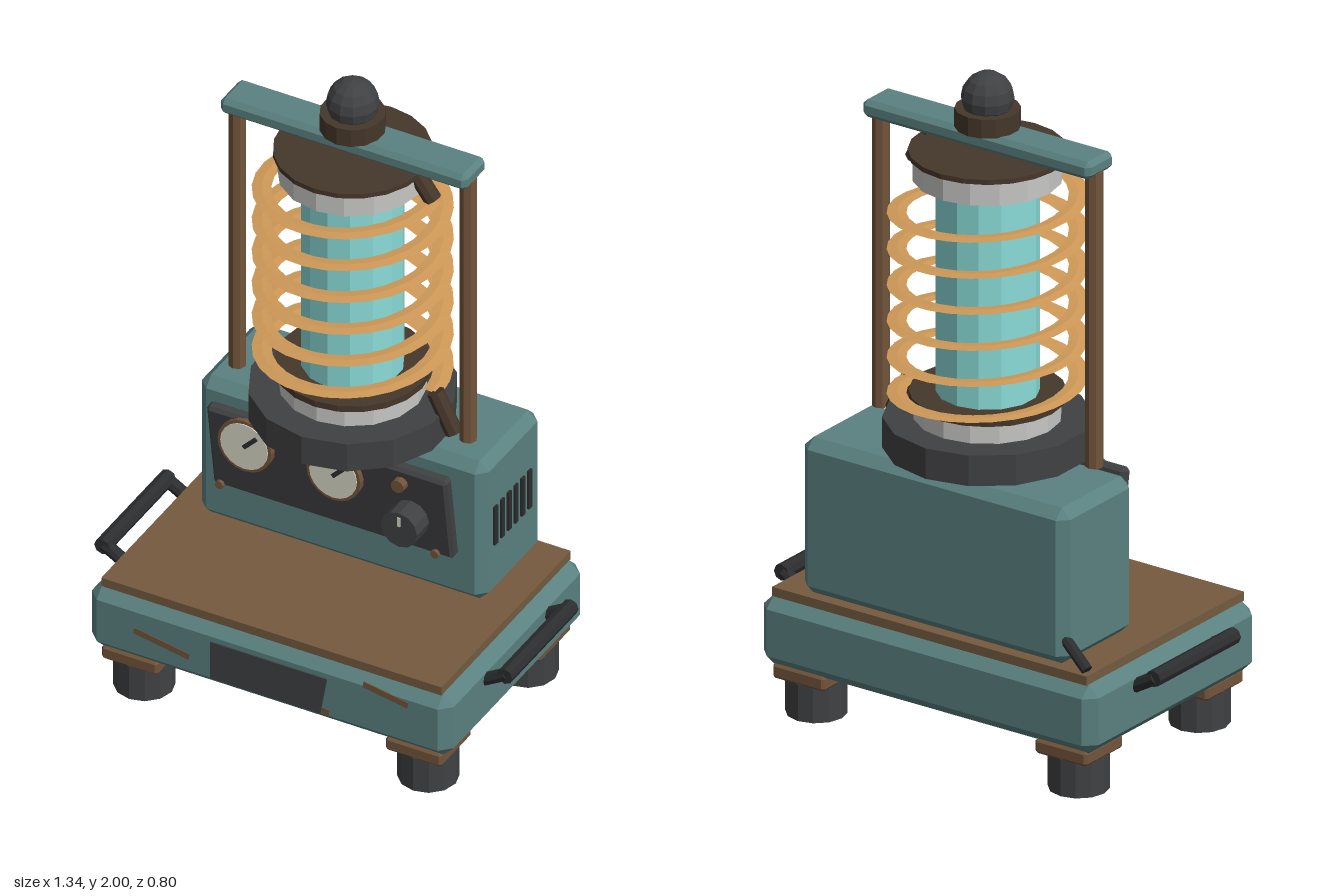
import * as THREE from 'three';
import { ConvexGeometry } from 'three/addons/geometries/ConvexGeometry.js';

const paint = (name, color, side = THREE.FrontSide) => {
  const m = new THREE.MeshStandardMaterial({ color });
  m.name = name;
  m.side = side;
  return m;
};

export function createModel() {
  const teal = paint('teal enamel', 0x5a8180);
  const brown = paint('brown wood', 0x745a3f);
  const bronze = paint('bronze', 0x72543a);
  const umber = paint('dark umber', 0x45372a);
  const copper = paint('copper coil', 0xd09a58, THREE.DoubleSide);
  const iron = paint('dark iron', 0x404143);
  const black = paint('black rubber', 0x2c2d2f);
  const cream = paint('cream', 0xd8d6c6);
  const ceramic = paint('ceramic', 0xc6c6c4);
  const glass = paint('cyan glass', 0x8adcd8);

  const model = new THREE.Group();
  model.name = 'coilApparatus';
  const Z = -0.097; // depth of the column axis

  // Faceted mesh helper
  const add = (name, geometry, material, x = 0, y = 0, z = 0, parent = model) => {
    const g = geometry.index ? geometry.toNonIndexed() : geometry;
    g.computeVertexNormals();
    const mesh = new THREE.Mesh(g, material);
    mesh.name = name;
    mesh.position.set(x, y, z);
    parent.add(mesh);
    return mesh;
  };

  // Box with every edge cut by c
  const chamferBox = (w, h, d, c) => {
    const pts = [];
    for (const sx of [-1, 1]) for (const sy of [-1, 1]) for (const sz of [-1, 1])
      for (let k = 0; k < 3; k++)
        pts.push(new THREE.Vector3(
          sx * (w / 2 - (k === 0 ? 0 : c)),
          sy * (h / 2 - (k === 1 ? 0 : c)),
          sz * (d / 2 - (k === 2 ? 0 : c))));
    return new ConvexGeometry(pts);
  };

  // Upright cylinder between two heights
  const disc = (name, mat, r, y0, y1, x = 0, z = Z, n = 16) =>
    add(name, new THREE.CylinderGeometry(r, r, y1 - y0, n), mat, x, (y0 + y1) / 2, z);

  // Rod between two points
  const rod = (name, mat, a, b, r, n = 8) => {
    const p = new THREE.Vector3(...a), q = new THREE.Vector3(...b);
    const mesh = add(name, new THREE.CylinderGeometry(r, r, p.distanceTo(q), n), mat);
    mesh.position.copy(p).lerp(q, 0.5);
    mesh.quaternion.setFromUnitVectors(new THREE.Vector3(0, 1, 0), q.sub(p).normalize());
    return mesh;
  };

  // Base tray, top board and feet
  add('base', chamferBox(1.16, 0.21, 0.8, 0.034), teal, 0, 0.255, 0);
  add('topBoard', new THREE.BoxGeometry(1.09, 0.028, 0.75), brown, 0, 0.373, 0);
  for (const sx of [-1, 1]) for (const sz of [-1, 1]) {
    disc('foot', iron, 0.088, 0, 0.112, sx * 0.455, sz * 0.288, 12);
    add('footMount', chamferBox(0.18, 0.045, 0.18, 0.008), bronze, sx * 0.455, 0.132, sz * 0.288);
  }

  // Side handles
  for (const s of [-1, 1]) {
    rod('handleBar', black, [s * 0.645, 0.343, -0.195], [s * 0.645, 0.343, 0.19], 0.025);
    for (const z of [-0.183, 0.175])
      rod('handleArm', black, [s * 0.56, 0.293, z], [s * 0.645, 0.343, z], 0.02);
  }

  // Patch and worn marks on the base front
  const patch = new THREE.Shape([[-0.18, 0.185], [0.172, 0.185], [0.193, 0.31], [-0.18, 0.31]]
    .map(p => new THREE.Vector2(...p)));
  add('frontPatch', new THREE.ExtrudeGeometry(patch, { depth: 0.005, bevelEnabled: false }), iron, 0, 0, 0.399);
  for (const [x, y, w, a] of [[-0.338, 0.248, 0.18, -0.17], [0.38, 0.32, 0.145, -0.17], [0.15, 0.2, 0.1, -0.12]])
    add('wornMark', new THREE.BoxGeometry(w, 0.02, 0.004), bronze, x, y, 0.4).rotation.z = a;

  // Cabinet, side vents and cable stub
  add('cabinet', chamferBox(0.92, 0.475, 0.34, 0.03), teal, 0, 0.6225, -0.195);
  for (let i = 0; i < 6; i++)
    add('vent', new THREE.BoxGeometry(0.009, 0.13, 0.018), black, 0.4625, 0.63, -0.087 - i * 0.0395);
  rod('cableStub', black, [-0.53, 0.395, -0.352], [-0.44, 0.465, -0.335], 0.017);

  // Tilted control panel
  add('controlPanel', chamferBox(0.77, 0.295, 0.04, 0.01), iron, 0, 0.693, 0.02).rotation.x = 0.15;
  const facing = (name, mat, r, depth, x, y, z, n = 16) =>
    add(name, new THREE.CylinderGeometry(r, r, depth, n), mat, x, y, z).rotation.x = Math.PI / 2;
  for (const x of [-0.255, 0.03]) {
    facing('dialRim', bronze, 0.086, 0.03, x, 0.75, 0.055, 20);
    facing('dialFace', cream, 0.076, 0.004, x, 0.75, 0.071, 20);
    add('needle', new THREE.BoxGeometry(0.058, 0.013, 0.004), black, x + 0.02, 0.77, 0.075).rotation.z = 0.8;
  }
  facing('knob', iron, 0.058, 0.07, 0.265, 0.67, 0.08, 12);
  add('knobMark', new THREE.BoxGeometry(0.009, 0.03, 0.004), cream, 0.265, 0.698, 0.116);
  facing('indicator', bronze, 0.021, 0.03, 0.24, 0.788, 0.065, 10);
  for (const x of [-0.345, 0.345]) facing('screw', bronze, 0.013, 0.012, x, 0.575, 0.05, 8);

  // Column: plinth, collars, flanges and glass tube
  disc('plinth', iron, 0.297, 0.86, 0.953, 0, Z, 14);
  disc('lowerCollar', ceramic, 0.21, 0.95, 1.012);
  disc('lowerFlange', umber, 0.222, 1.01, 1.03, 0, Z, 20);
  disc('glassTube', glass, 0.147, 1.03, 1.69, 0, Z, 14);
  disc('upperCollar', ceramic, 0.213, 1.68, 1.75);
  disc('upperFlange', umber, 0.225, 1.75, 1.765, 0, Z, 20);

  // Flat ribbon coil, six turns
  const turns = 6, steps = turns * 28;
  const verts = [], faces = [];
  for (let i = 0; i <= steps; i++) {
    const t = (i / steps) * turns * Math.PI * 2, y = 1.012 + 0.66 * i / steps;
    for (const [r, dy] of [[0.228, 0], [0.255, 0.003], [0.284, 0], [0.255, -0.003]])
      verts.push(r * Math.cos(t), y + dy, -r * Math.sin(t));
    if (i < steps) for (let k = 0; k < 4; k++) {
      const a = i * 4 + k, b = i * 4 + (k + 1) % 4;
      faces.push(a, b, b + 4, a, b + 4, a + 4);
    }
  }
  const ribbon = new THREE.BufferGeometry();
  ribbon.setAttribute('position', new THREE.Float32BufferAttribute(verts, 3));
  ribbon.setIndex(faces);
  add('coil', ribbon, copper, 0, 0, Z);

  // Coil terminals
  rod('upperTerminal', umber, [0.192, 1.765, Z], [0.258, 1.675, Z], 0.026);
  rod('lowerTerminal', umber, [0.265, 1.015, Z], [0.325, 0.895, Z], 0.026);

  // Frame: posts, crossbeam and finial
  for (const s of [-1, 1]) disc('post', bronze, 0.026, 0.89, 1.79, s * 0.37, Z, 8);
  add('crossbeam', chamferBox(0.79, 0.053, 0.125, 0.014), teal, 0, 1.81, Z);
  disc('finialCollar', umber, 0.094, 1.835, 1.892, 0, Z, 14);
  add('finialBall', new THREE.SphereGeometry(0.076, 12, 8), iron, 0, 1.924, Z);

  return model;
}
